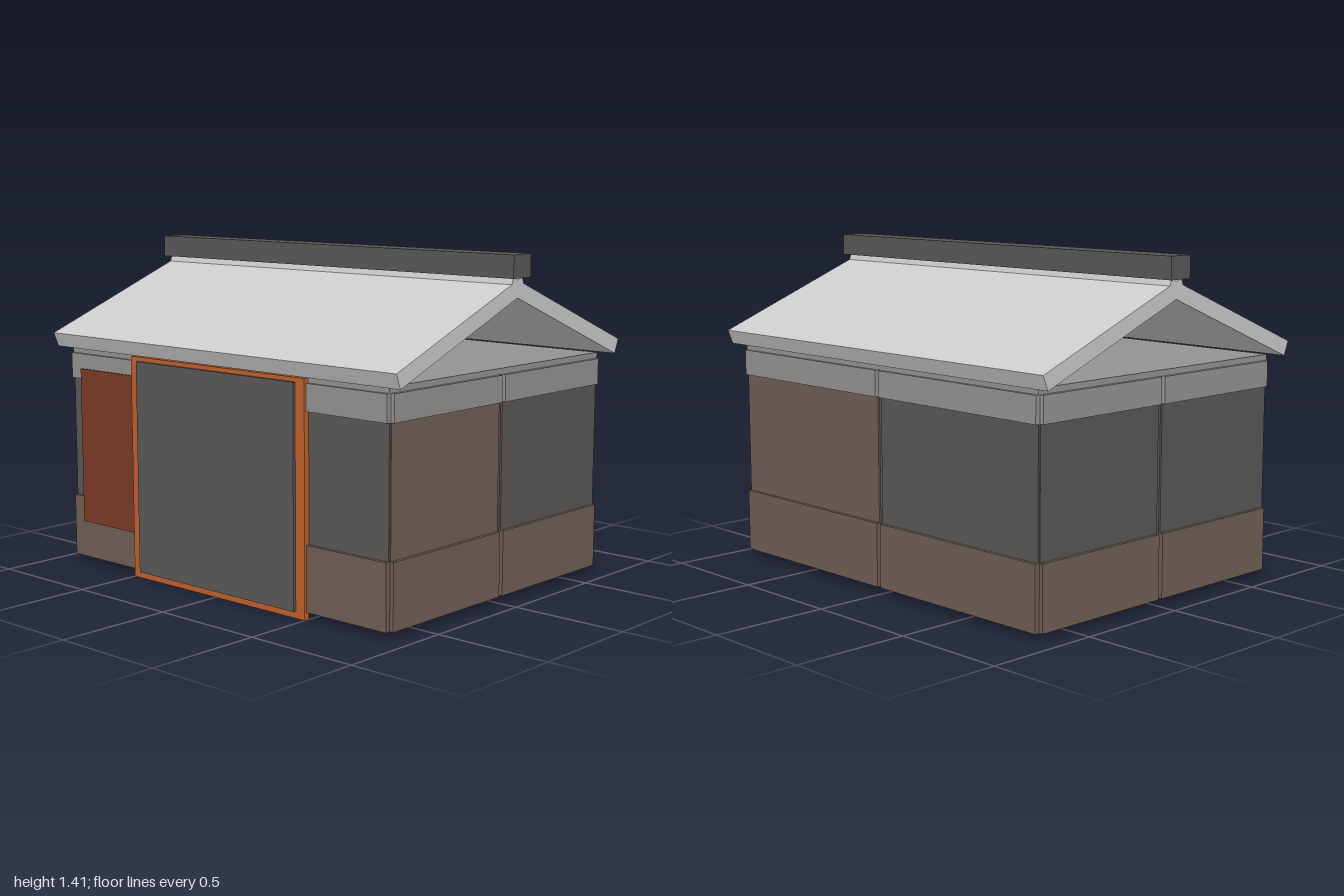
import * as THREE from 'three';

const mat = (color) => new THREE.MeshStandardMaterial({ color });

export function createModel() {
  const model = new THREE.Group();
  const roofGrey = mat(0xcccccc), trim = mat(0x959391), dark = mat(0x5a5856);
  const brown = mat(0x705f56), red = mat(0x7c3a28), orange = mat(0xc0602c);

  // Box given by its limits on each axis
  function box(name, material, [x0, x1], [y0, y1], [z0, z1]) {
    const mesh = new THREE.Mesh(new THREE.BoxGeometry(x1 - x0, y1 - y0, z1 - z0), material);
    mesh.position.set((x0 + x1) / 2, (y0 + y1) / 2, (z0 + z1) / 2);
    mesh.name = name;
    model.add(mesh);
    return mesh;
  }

  // Solid core, seen in the narrow gaps between panels, and the top plate
  box('core', dark, [-0.9, 0.9], [0.03, 0.935], [-0.675, 0.675]);
  box('topPlate', trim, [-0.907, 0.907], [0.935, 0.96], [-0.685, 0.685]);

  // Each wall bay has a skirt, a thinner upper panel and a top band
  const layers = [
    ['skirt', 0.03, 0.3, 0.022],
    ['upperPanel', 0.3, 0.825, 0.008],
    ['topBand', 0.825, 0.935, 0.022],
  ];
  function bay(side, from, to, upperMaterial) {
    const materials = [brown, upperMaterial, trim];
    layers.forEach(([part, y0, y1, depth], i) => {
      const name = side + part[0].toUpperCase() + part.slice(1);
      const s = side === 'back' || side === 'right' ? -1 : 1;
      const alongX = side === 'front' || side === 'back';
      const face = alongX ? 0.675 : 0.9;
      const span = [s * (face - 0.01), s * (face + depth)].sort((a, b) => a - b);
      if (alongX) box(name, materials[i], [from, to], [y0, y1], span);
      else box(name, materials[i], span, [y0, y1], [from, to]);
    });
  }
  bay('front', -0.905, -0.49, dark);
  bay('front', 0.49, 0.905, dark);
  bay('back', -0.905, -0.01, dark);
  bay('back', 0.01, 0.905, brown);
  bay('left', -0.675, -0.01, dark);
  bay('left', 0.01, 0.675, brown);
  bay('right', -0.675, -0.01, dark);
  bay('right', 0.01, 0.675, dark);

  // Main door with its surround, and the red panel beside it
  for (const s of [-1, 1]) {
    box('doorJamb', orange, s < 0 ? [-0.5, -0.45] : [0.45, 0.5], [0, 0.955], [0.683, 0.708]);
  }
  box('doorHead', orange, [-0.45, 0.45], [0.93, 0.955], [0.683, 0.708]);
  box('doorSill', orange, [-0.45, 0.45], [0, 0.035], [0.683, 0.708]);
  box('door', dark, [-0.455, 0.452], [0.028, 0.937], [0.67, 0.72]);
  box('sidePanel', red, [-0.84, -0.495], [0.19, 0.87], [0.67, 0.703]);

  // Two roof slabs that cross slightly at the ridge
  for (const s of [-1, 1]) {
    const slab = new THREE.Mesh(new THREE.BoxGeometry(1.96, 0.065, 0.822), roofGrey);
    slab.name = s > 0 ? 'frontRoofSlab' : 'backRoofSlab';
    slab.position.set(0, 1.142, s * 0.341);
    slab.rotation.x = s * Math.atan(0.4);
    model.add(slab);
  }
  box('ridgeBeam', dark, [-1, 1], [1.322, 1.415], [-0.057, 0.057]);

  return model;
}
